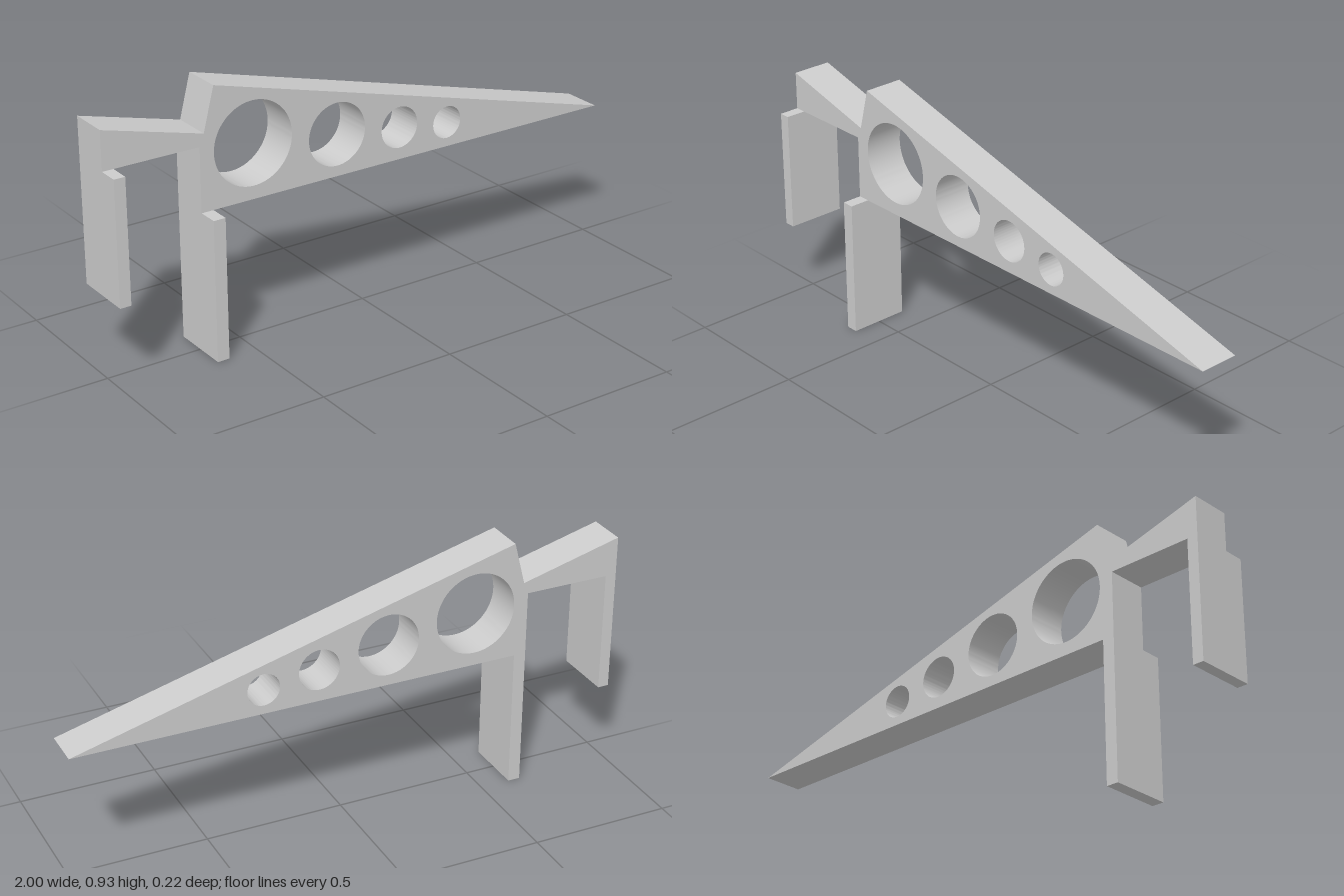
import * as THREE from 'three';
import { toCreasedNormals } from 'three/addons/utils/BufferGeometryUtils.js';

const BACK = -0.11, PLATE_FRONT = 0.036, LEG_FRONT = 0.11;

export function createModel() {
  const model = new THREE.Group();
  const material = new THREE.MeshStandardMaterial({ color: 0xcccccc });

  // Long tapering plate with a short arm at its tall end
  const outline = [
    [-1, 0.734], [-0.652, 0.734], [-0.652, 0.505], [1, 0.505],
    [-0.595, 0.93], [-0.635, 0.776], [-1, 0.872],
  ];
  const shape = new THREE.Shape(outline.map(([x, y]) => new THREE.Vector2(x, y)));

  // Round holes shrinking toward the tip: x, y, radius
  const holes = [
    [-0.452, 0.7, 0.148], [-0.126, 0.655, 0.112],
    [0.128, 0.621, 0.074], [0.328, 0.594, 0.058],
  ];
  for (const [x, y, r] of holes) {
    shape.holes.push(new THREE.Path().absarc(x, y, r, 0, Math.PI * 2, true));
  }
  const plateGeometry = new THREE.ExtrudeGeometry(shape, {
    depth: PLATE_FRONT - BACK, bevelEnabled: false, curveSegments: 48,
  });
  plateGeometry.translate(0, 0, BACK);
  const plate = new THREE.Mesh(toCreasedNormals(plateGeometry, 0.5), material);
  plate.name = 'taperedPlate';
  model.add(plate);

  // Flat legs, wider than the plate and reaching forward of it
  const addLeg = (name, x0, x1, y0, y1) => {
    const leg = new THREE.Mesh(new THREE.BoxGeometry(x1 - x0, y1 - y0, LEG_FRONT - BACK), material);
    leg.position.set((x0 + x1) / 2, (y0 + y1) / 2, (LEG_FRONT + BACK) / 2);
    leg.name = name;
    model.add(leg);
  };
  addLeg('shortLeg', -1, -0.96, 0.295, 0.734);
  addLeg('longLeg', -0.652, -0.608, 0, 0.505);

  return model;
}
